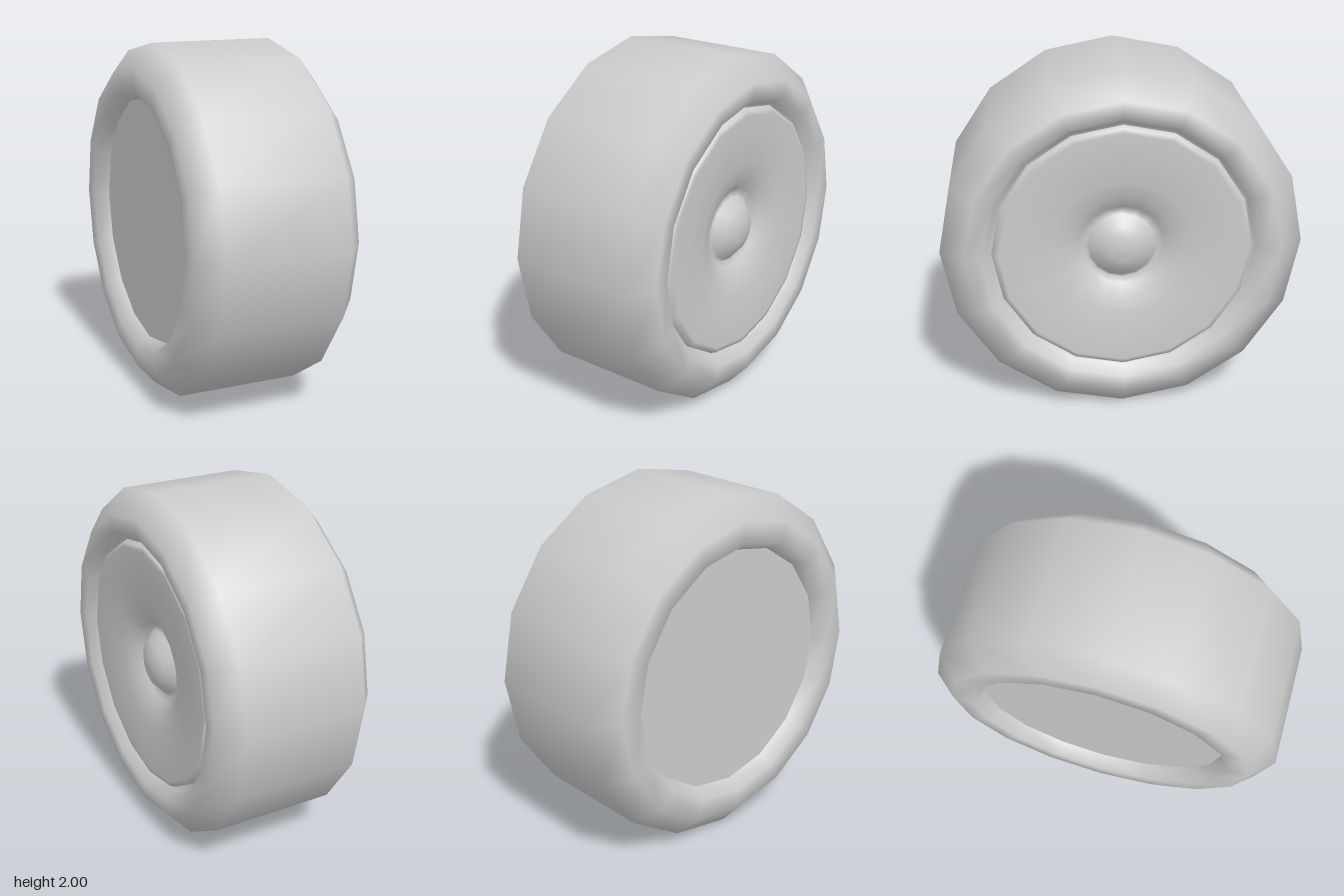
import * as THREE from 'three';

const SIDES = 16;

// Turn a [radius, x] profile around the axle (x axis)
function turned(name, profile, material) {
  const points = profile.map(([r, x]) => new THREE.Vector2(r, x));
  const geometry = new THREE.LatheGeometry(points, SIDES);
  geometry.rotateZ(-Math.PI / 2);
  const mesh = new THREE.Mesh(geometry, material);
  mesh.name = name;
  mesh.position.y = 1;
  return mesh;
}

export function createModel() {
  const group = new THREE.Group();
  group.name = 'wheel';
  const grey = new THREE.MeshStandardMaterial({ color: 0xcccccc });

  // Tyre: inner back lip, bevelled tread, front lip and groove
  group.add(turned('tyre', [
    [0.70, -0.39], [0.745, -0.47], [0.867, -0.47], [1, -0.355],
    [1, 0.355], [0.867, 0.47], [0.775, 0.465], [0.735, 0.40], [0.70, 0.39],
  ], grey));

  // Hubcap: raised edge, dished face and domed centre
  group.add(turned('hubcap', [
    [0.72, 0.39], [0.705, 0.425], [0.68, 0.43], [0.55, 0.425], [0.40, 0.41],
    [0.30, 0.385], [0.235, 0.345], [0.205, 0.32], [0.185, 0.335],
    [0.13, 0.385], [0.07, 0.41], [0, 0.415],
  ], grey));

  // Flat plate closing the inner side
  group.add(turned('backPlate', [[0, -0.39], [0.70, -0.39]], grey));

  return group;
}
